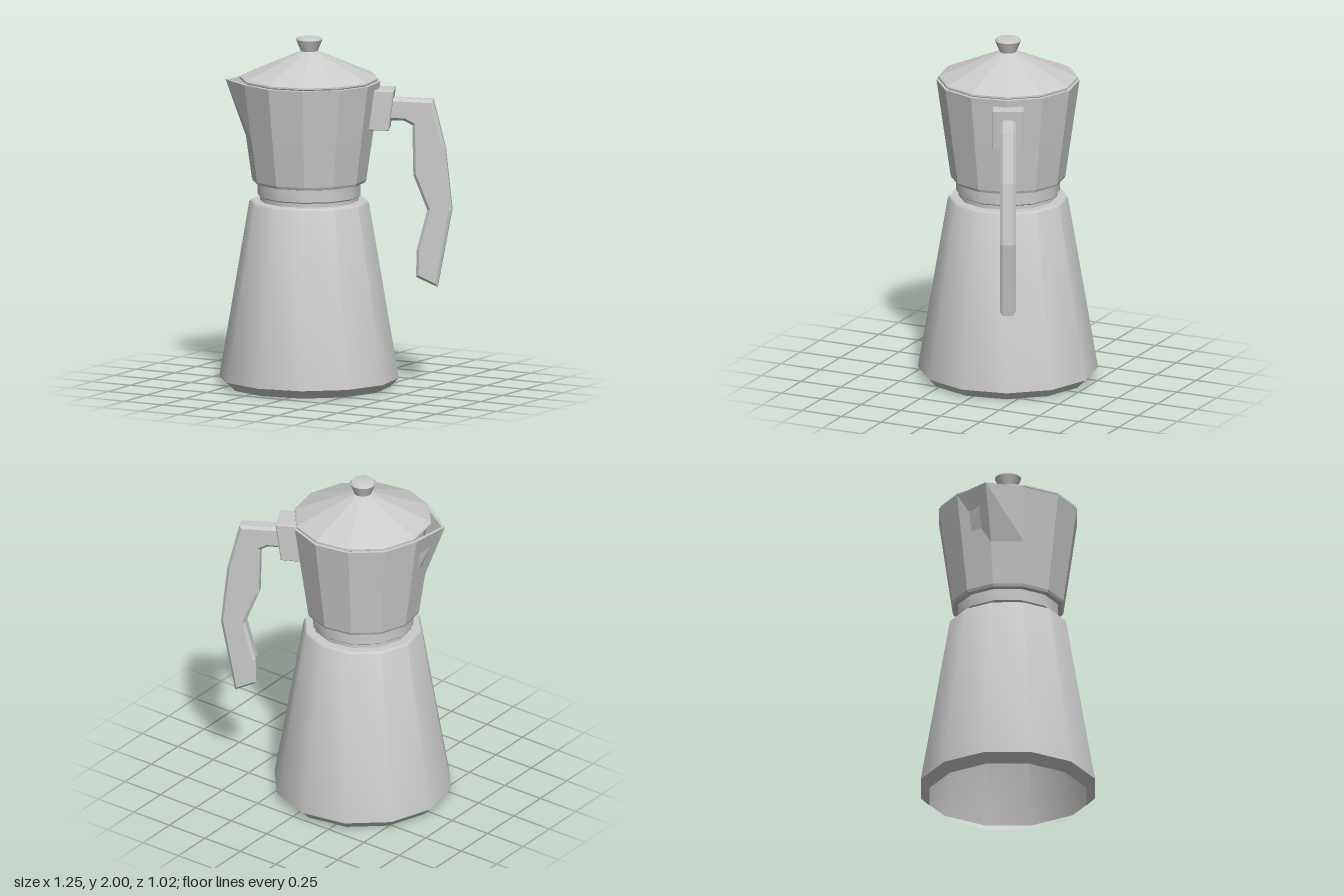
import * as THREE from 'three';
import { toCreasedNormals } from 'three/addons/utils/BufferGeometryUtils.js';

const SIDES = 12;
const TURN = THREE.MathUtils.degToRad(25); // angle of the first polygon corner
const HANDLE_ANGLE = THREE.MathUtils.degToRad(26);
const AXIS_X = -0.12;

const smooth = new THREE.MeshStandardMaterial({ color: 0xcccccc, side: THREE.DoubleSide });
const faceted = new THREE.MeshStandardMaterial({ color: 0xcccccc, flatShading: true, side: THREE.DoubleSide });

const vectors = (points) => points.map(([x, y]) => new THREE.Vector2(x, y));

// Twelve-sided turned body from a [radius, height] profile
function turned(profile) {
  return new THREE.LatheGeometry(vectors(profile), SIDES, TURN, Math.PI * 2);
}

function addMesh(parent, name, geometry, material) {
  const mesh = new THREE.Mesh(geometry, material);
  mesh.name = name;
  parent.add(mesh);
  return mesh;
}

// Bevelled slab with its outline in the x-y plane, centred on z
function slab(outline, width, bevel) {
  const depth = width - 2 * bevel;
  const geometry = new THREE.ExtrudeGeometry(new THREE.Shape(vectors(outline)), {
    depth, bevelEnabled: true, bevelThickness: bevel, bevelSize: bevel,
    bevelOffset: -bevel, bevelSegments: 1,
  });
  return geometry.translate(0, 0, -depth / 2);
}

// Pulls one corner of the bowl outwards near the rim
function pullSpout(geometry) {
  const pos = geometry.attributes.position;
  const spoutAngle = TURN + Math.PI * 1.5;
  const dirX = Math.sin(spoutAngle), dirZ = Math.cos(spoutAngle);
  for (let i = 0; i < pos.count; i++) {
    const x = pos.getX(i), y = pos.getY(i), z = pos.getZ(i);
    if (x * dirX + z * dirZ < 0.995 * Math.hypot(x, z)) continue;
    const pull = 0.07 * Math.max(0, (y - 1.43) / 0.32);
    pos.setXYZ(i, x + dirX * pull, y, z + dirZ * pull);
  }
  return geometry;
}

export function createModel() {
  const model = new THREE.Group();
  model.name = 'stovetopCoffeePot';
  const pot = new THREE.Group();
  pot.name = 'pot';
  pot.position.x = AXIS_X;
  model.add(pot);

  // Lower chamber, open underneath, with the threaded neck on top
  addMesh(pot, 'lowerChamber', toCreasedNormals(turned([
    [0.46, 0], [0.51, 0.05], [0.34, 1.055], [0.33, 1.065], [0.28, 1.065], [0.28, 1.1],
  ]), 0.65), smooth);

  // Collar and bowl, with rim and inner wall
  addMesh(pot, 'collar', toCreasedNormals(turned([
    [0.2, 1.088], [0.285, 1.088], [0.293, 1.095], [0.293, 1.165], [0.318, 1.172],
  ]), 0.65), smooth);
  addMesh(pot, 'bowl', pullSpout(turned([
    [0.293, 1.165], [0.318, 1.17], [0.325, 1.185], [0.36, 1.43], [0.405, 1.75],
    [0.385, 1.75], [0.34, 1.43], [0.31, 1.2], [0, 1.2],
  ])), faceted);

  // Lid and knob
  addMesh(pot, 'lid', turned([
    [0, 1.752], [0.385, 1.752], [0.395, 1.758], [0.395, 1.768], [0.385, 1.775], [0.05, 1.92], [0, 1.92],
  ]), faceted);
  addMesh(pot, 'knob', toCreasedNormals(turned([
    [0.046, 1.915], [0.05, 1.925], [0.075, 1.985], [0.066, 1.997], [0.05, 2], [0, 2],
  ]), 0.65), smooth);

  // Handle, drawn along +x and swung around the pot
  const handle = new THREE.Group();
  handle.name = 'handle';
  handle.rotation.y = HANDLE_ANGLE;
  pot.add(handle);
  addMesh(handle, 'handleBracket', slab([
    [0.34, 1.48], [0.457, 1.48], [0.487, 1.71], [0.36, 1.71],
  ], 0.18, 0.006), faceted);
  addMesh(handle, 'handleGrip', slab([
    [0.45, 1.53], [0.54, 1.53], [0.587, 1.505], [0.593, 1.22], [0.672, 1.02], [0.612, 0.79],
    [0.608, 0.635], [0.73, 0.578], [0.812, 1.02], [0.775, 1.37], [0.705, 1.65], [0.45, 1.66],
  ], 0.09, 0.016), faceted);

  return model;
}
